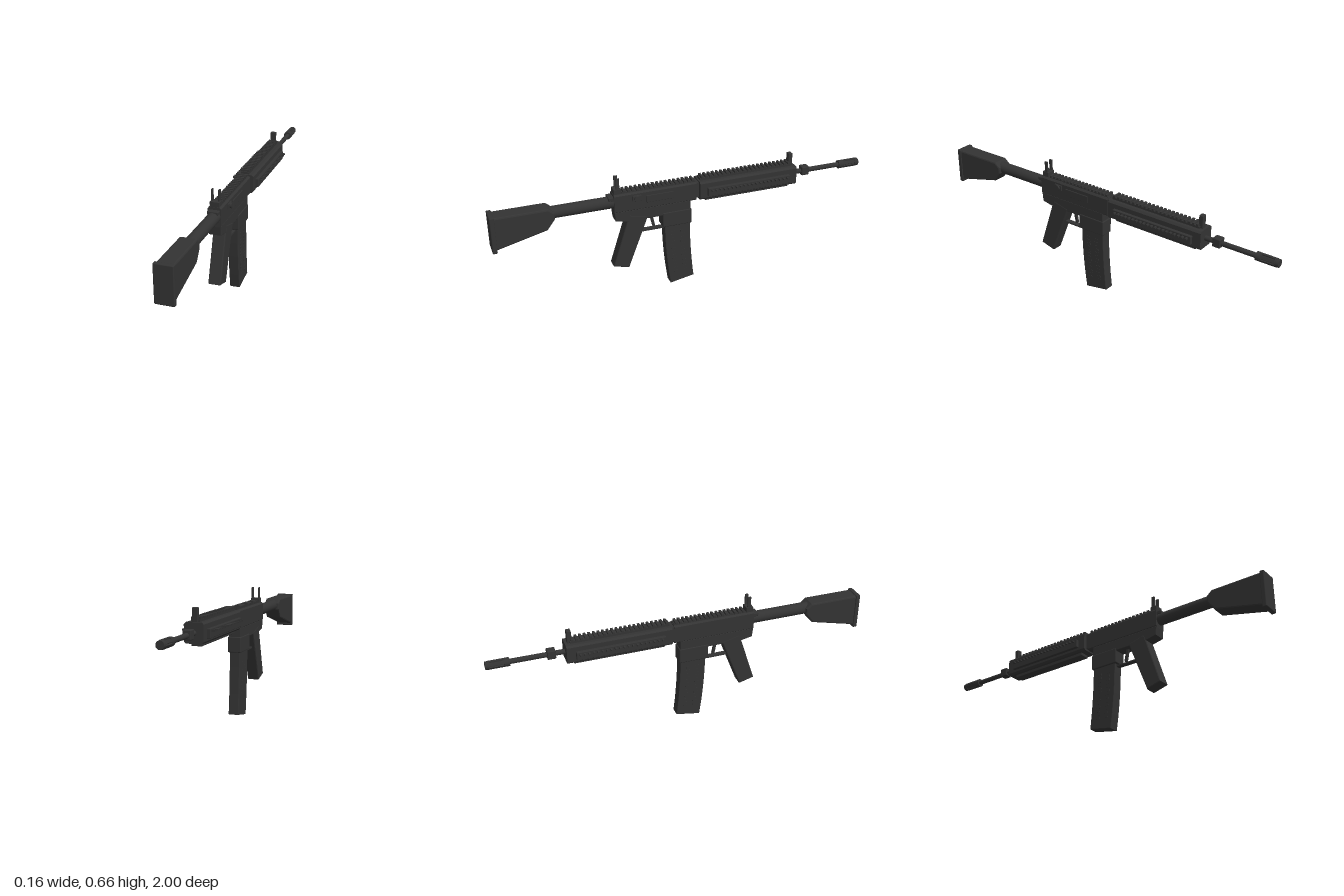
import * as THREE from 'three';
import { RoundedBoxGeometry } from 'three/addons/geometries/RoundedBoxGeometry.js';

export function createModel() {
  const root = new THREE.Group();
  root.name = 'toyRifle';
  const charcoal = new THREE.MeshStandardMaterial({ color: 0x333333 });
  charcoal.name = 'charcoal';

  const add = (name, geometry, parent = root) => {
    const mesh = new THREE.Mesh(geometry, charcoal);
    mesh.name = name;
    parent.add(mesh);
    return mesh;
  };
  const group = (name) => {
    const g = new THREE.Group();
    g.name = name;
    root.add(g);
    return g;
  };
  // Box given by its limits on each axis; r rounds the edges
  const box = (name, x, y, z, r = 0, parent = root) => {
    const s = [x, y, z].map(([a, b]) => b - a);
    const g = r ? new RoundedBoxGeometry(...s, 2, r) : new THREE.BoxGeometry(...s);
    const m = add(name, g, parent);
    m.position.set(...[x, y, z].map(([a, b]) => (a + b) / 2));
    return m;
  };
  // Side profile of [z, y] points, extruded to half-width w with bevelled edges
  const profile = (name, points, w, bevel) => {
    const shape = new THREE.Shape(points.map(([z, y]) => new THREE.Vector2(-z, y)));
    const g = new THREE.ExtrudeGeometry(shape, {
      depth: 2 * (w - bevel), bevelEnabled: true, bevelSize: bevel,
      bevelThickness: bevel, bevelOffset: -bevel, bevelSegments: 2,
    });
    g.translate(0, 0, bevel - w);
    g.rotateY(Math.PI / 2);
    return add(name, g);
  };
  // Box with chamfered long edges, running along z
  const chamferedBar = (name, w, y0, y1, z0, z1, c) => {
    const shape = new THREE.Shape([
      [w - c, y0], [w, y0 + c], [w, y1 - c], [w - c, y1],
      [c - w, y1], [-w, y1 - c], [-w, y0 + c], [c - w, y0],
    ].map(([x, y]) => new THREE.Vector2(x, y)));
    const g = new THREE.ExtrudeGeometry(shape, { depth: z1 - z0, bevelEnabled: false });
    g.translate(0, 0, z0);
    return add(name, g);
  };
  // Round part along z on the bore line
  const axis = 0.527;
  const rod = (name, r0, r1, z0, z1, sides = 24) => {
    const g = new THREE.CylinderGeometry(r1, r0, z1 - z0, sides);
    g.rotateX(Math.PI / 2);
    const m = add(name, g);
    m.position.set(0, axis, (z0 + z1) / 2);
    return m;
  };

  // Stock, butt pad and tube
  profile('stock', [[0.985, 0.565], [0.715, 0.565], [0.685, 0.54], [0.685, 0.505],
    [0.725, 0.452], [0.985, 0.388]], 0.043, 0.008);
  box('buttPad', [-0.048, 0.048], [0.376, 0.57], [0.976, 1], 0.005);
  rod('stockTube', 0.031, 0.031, 0.37, 0.72);

  // Receivers
  chamferedBar('upperReceiver', 0.034, 0.474, 0.576, -0.052, 0.385, 0.008);
  box('chargingHandle', [-0.028, 0.028], [0.545, 0.563], [0.37, 0.412], 0.003);
  profile('lowerReceiver', [[0.385, 0.48], [0.38, 0.43], [0.32, 0.418],
    [-0.02, 0.418], [-0.02, 0.48]], 0.032, 0.003);
  box('magazineWell', [-0.035, 0.035], [0.35, 0.432], [-0.025, 0.132], 0.005);
  box('barrelNut', [-0.03, 0.03], [0.488, 0.57], [-0.08, -0.045]);
  box('ejectionPort', [0.03, 0.038], [0.512, 0.55], [0.075, 0.22], 0.002);
  const assist = add('forwardAssist', new THREE.CylinderGeometry(0.014, 0.014, 0.026, 16));
  assist.rotation.z = Math.PI / 2;
  assist.position.set(0.036, 0.545, 0.268);
  box('assistBase', [0.028, 0.04], [0.53, 0.56], [0.245, 0.292], 0.002);

  // Grip, trigger and guard
  profile('grip', [[0.308, 0.455], [0.21, 0.43], [0.318, 0.148], [0.4, 0.17]], 0.033, 0.006);
  box('guardBar', [-0.013, 0.013], [0.336, 0.344], [0.1, 0.245]);
  const trigger = box('trigger', [-0.006, 0.006], [0.352, 0.425], [0.172, 0.186]);
  trigger.rotation.x = 0.2;

  // Curved magazine with rows of side ribs
  const back = [], front = [];
  for (let i = 0; i <= 10; i++) {
    const t = i / 10;
    back.push([0.12 - 0.03 * t * t, 0.38 - 0.38 * t]);
    front.push([-0.018 - 0.022 * t * t, 0.38 - 0.356 * t]);
  }
  profile('magazine', [...back, ...front.reverse()], 0.027, 0.003);
  const ribs = group('magazineRibs');
  for (let i = 0; i < 13; i++) {
    const y = 0.31 - i * 0.02;
    const shift = -0.026 * ((0.38 - y) / 0.37) ** 2;
    for (const z of [0.078, 0.026]) {
      const rib = box('rib', [-0.0285, 0.0285], [y - 0.005, y + 0.005],
        [z + shift - 0.011, z + shift + 0.011], 0, ribs);
      rib.rotation.x = 0.17 * (0.38 - y) / 0.38;
    }
  }

  // Handguard and its rails
  chamferedBar('handguard', 0.048, 0.478, 0.577, -0.61, -0.066, 0.009);
  box('bottomRail', [-0.026, 0.026], [0.462, 0.485], [-0.573, -0.1], 0.003);
  for (const s of [-1, 1]) {
    const side = group(s > 0 ? 'leftRail' : 'rightRail');
    const span = (a, b) => (s > 0 ? [a, b] : [-b, -a]);
    box('railBase', span(0.044, 0.064), [0.499, 0.544], [-0.565, -0.105], 0.003, side);
    for (let i = 0; i < 20; i++) {
      const z = -0.125 - i * 0.0222;
      box('tooth', span(0.06, 0.081), [0.529, 0.537], [z - 0.005, z + 0.005], 0, side);
    }
  }

  // Toothed top rails on the receiver and handguard
  const topRail = (name, z0, z1, y, count) => {
    const g = group(name);
    box('railBase', [-0.022, 0.022], [0.57, y], [z0, z1], 0, g);
    for (let i = 0; i < count; i++) {
      const z = z0 + ((i + 0.5) * (z1 - z0)) / count;
      box('tooth', [-0.024, 0.024], [y - 0.002, y + 0.01], [z - 0.006, z + 0.006], 0, g);
    }
  };
  topRail('receiverRail', -0.048, 0.34, 0.58, 17);
  topRail('handguardRail', -0.585, -0.075, 0.588, 22);

  // Sights
  box('rearSightBase', [-0.024, 0.024], [0.572, 0.602], [0.345, 0.383], 0.002);
  for (const x of [-0.018, 0.018]) {
    box('rearSightPost', [x - 0.0045, x + 0.0045], [0.59, 0.66], [0.352, 0.37], 0.002);
  }
  box('frontSight', [-0.014, 0.014], [0.575, 0.643], [-0.598, -0.575], 0.003);

  // Barrel, gas block and slotted muzzle
  rod('barrel', 0.013, 0.013, -0.9, -0.6);
  box('gasBlock', [-0.021, 0.021], [0.506, 0.553], [-0.7, -0.657], 0.005);
  rod('muzzleCore', 0.017, 0.017, -0.985, -0.895);
  rod('muzzleCollar', 0.022, 0.022, -0.91, -0.882);
  rod('muzzleTip', 0.02, 0.022, -1, -0.978);
  const prongs = group('muzzleProngs');
  prongs.position.y = axis;
  for (let i = 0; i < 6; i++) {
    const a = (i * Math.PI) / 3;
    const p = box('prong', [-0.007, 0.007], [-0.004, 0.004], [-0.985, -0.9], 0, prongs);
    p.position.x = Math.sin(a) * 0.017;
    p.position.y = Math.cos(a) * 0.017;
    p.rotation.z = -a;
  }
  return root;
}
